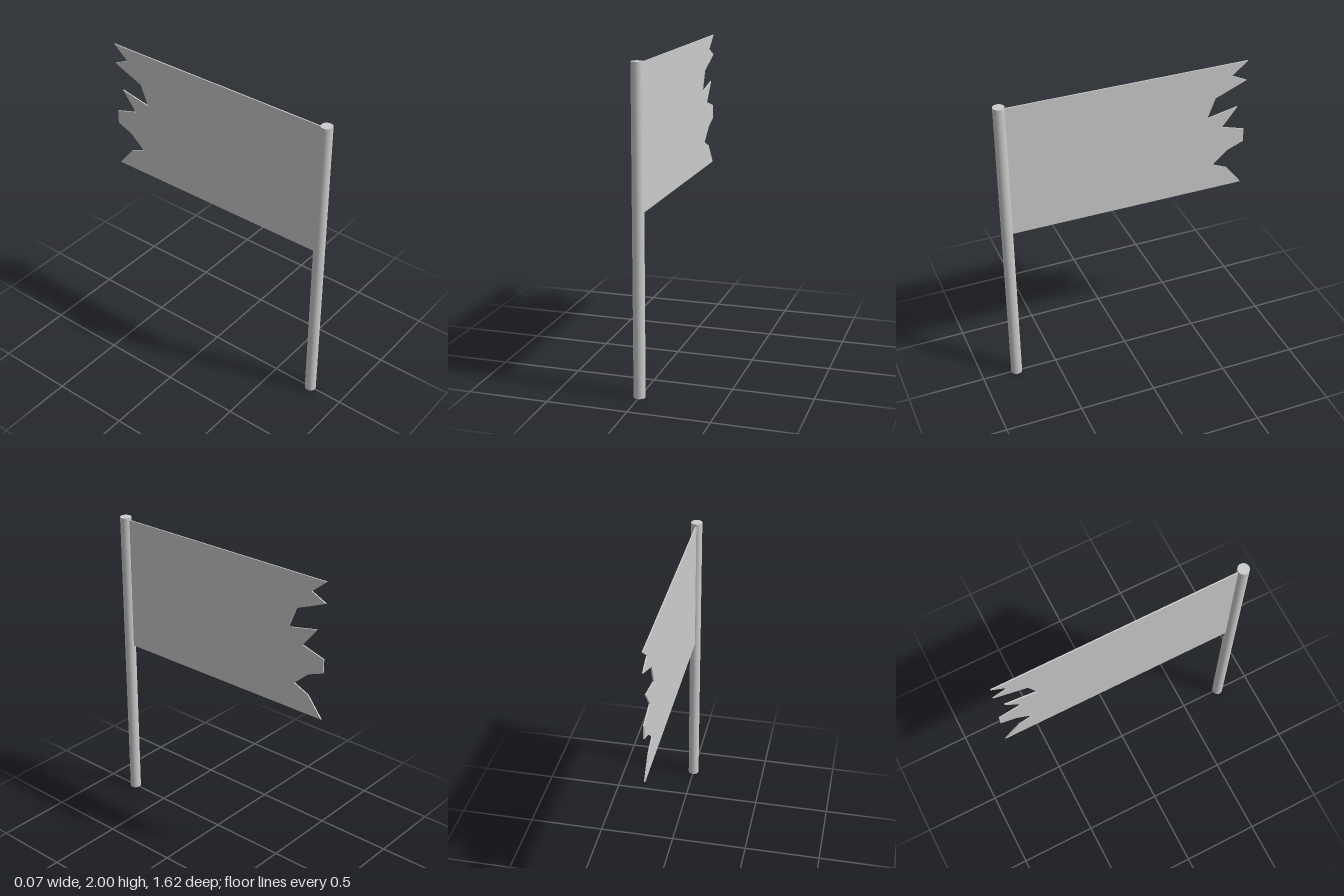
import * as THREE from 'three';

export function createModel() {
  const group = new THREE.Group();
  group.name = 'tornFlag';
  const material = new THREE.MeshStandardMaterial({ color: 0xcccccc });

  // Upright round pole
  const radius = 0.036, poleZ = 0.773;
  const pole = new THREE.Mesh(new THREE.CylinderGeometry(radius, radius, 2, 32), material);
  pole.name = 'pole';
  pole.position.set(0, 1, poleZ);
  group.add(pole);

  // Thin cloth: outline as [distance toward the back, height], torn along its free edge
  const outline = [
    [-poleZ + 0.02, 1.109], [0.809, 1.109], [0.706, 1.239], [0.602, 1.284],
    [0.706, 1.374], [0.809, 1.414], [0.809, 1.504], [0.655, 1.549],
    [0.756, 1.676], [0.55, 1.634], [0.602, 1.767], [0.809, 1.852],
    [0.706, 1.9], [0.809, 1.985], [-poleZ + 0.02, 1.985],
  ];
  const thickness = 0.008;
  const shape = new THREE.Shape(outline.map(([u, y]) => new THREE.Vector2(u, y)));
  const geometry = new THREE.ExtrudeGeometry(shape, { depth: thickness, bevelEnabled: false });
  geometry.translate(0, 0, -thickness / 2);
  geometry.rotateY(Math.PI / 2);
  const cloth = new THREE.Mesh(geometry, material);
  cloth.name = 'cloth';
  group.add(cloth);

  return group;
}
